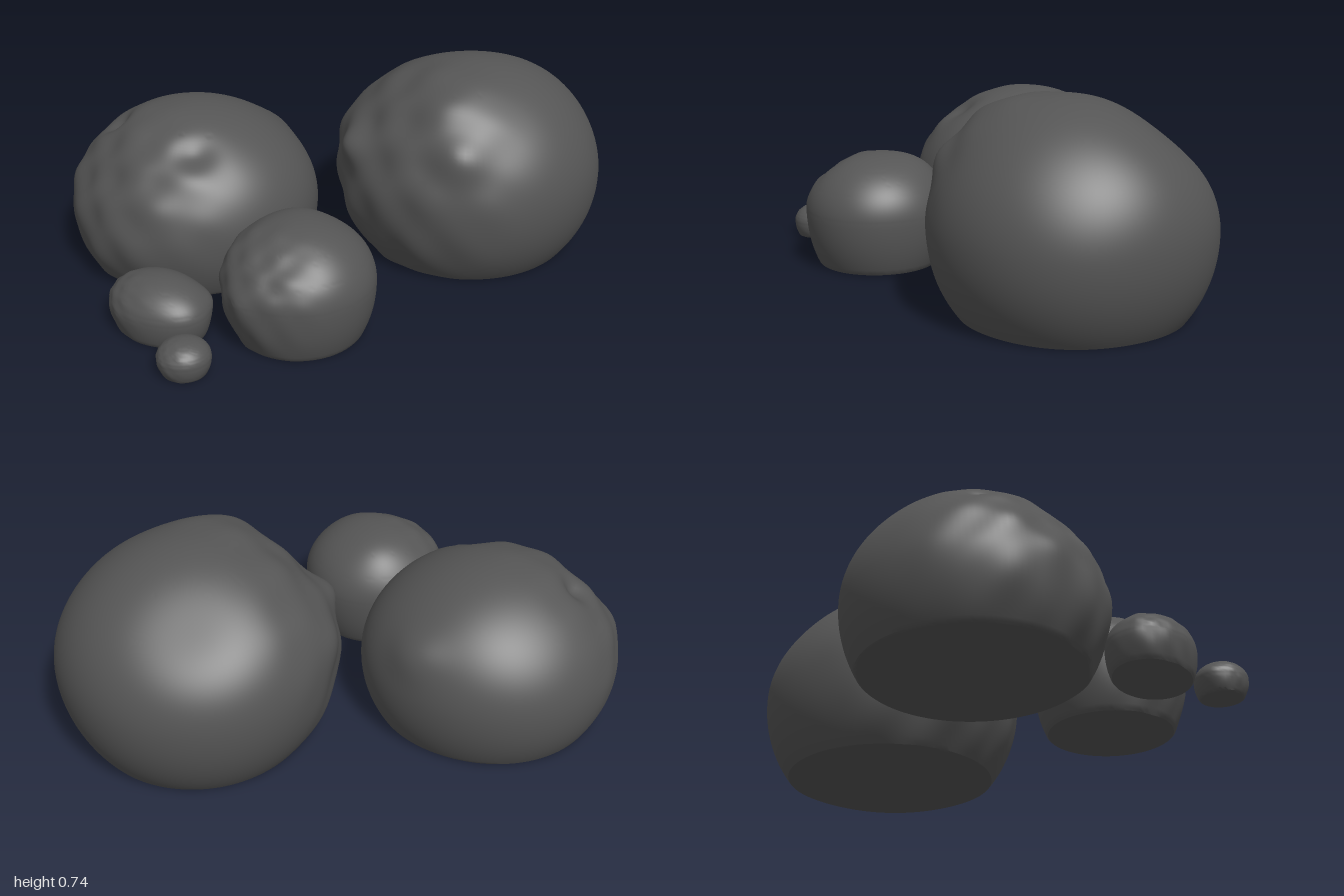
import * as THREE from 'three';
import { toCreasedNormals } from 'three/addons/utils/BufferGeometryUtils.js';

const stone = new THREE.MeshStandardMaterial({ color: 0x555555 });
stone.name = 'dark stone';

// Smooth lumpiness, stronger on the weathered side (-x, +z)
function lumps(d, seed) {
  const weathered = THREE.MathUtils.smoothstep(-d.x * 0.8 + d.z * 0.5 + d.y * 0.2, 0.1, 0.9);
  const broad = Math.sin(3.1 * d.x + seed) * Math.sin(2.7 * d.y + seed * 2) * Math.sin(3.4 * d.z + seed * 3);
  const fine = Math.sin(9 * d.x + 3 * d.y + seed) * Math.sin(8 * d.y - 4 * d.z + seed) * Math.sin(10 * d.z + 2 * d.x);
  return 0.012 * broad + 0.025 * weathered * fine;
}

// A local bump (height > 0) or dent (height < 0) in the direction x, y, z
function bump(x, y, z, width, height) {
  const dir = new THREE.Vector3(x, y, z).normalize();
  return (d) => height * Math.exp(-d.distanceToSquared(dir) / (width * width));
}

// Boulder: an ellipsoid with bumps, cut flat at the ground.
// base = width at the ground relative to the widest level
function boulder(name, center, radii, base, seed, detail, turn, bumps) {
  const geo = new THREE.SphereGeometry(1, Math.round(detail * 1.4), detail);
  geo.deleteAttribute('uv');
  const lower = center.y / Math.sqrt(1 - base * base);
  const pos = geo.attributes.position;
  const d = new THREE.Vector3();
  for (let i = 0; i < pos.count; i++) {
    d.fromBufferAttribute(pos, i).normalize();
    const r = bumps.reduce((sum, f) => sum + f(d), 1 + lumps(d, seed));
    const y = center.y + d.y * r * (d.y > 0 ? radii.y : lower);
    pos.setXYZ(i, d.x * r * radii.x, Math.max(0, y), d.z * r * radii.z);
  }
  geo.rotateY(turn);
  geo.translate(center.x, 0, center.z);
  const mesh = new THREE.Mesh(toCreasedNormals(geo, 0.6), stone);
  mesh.name = name;
  return mesh;
}

export function createModel() {
  const group = new THREE.Group();
  group.name = 'boulders';
  const at = (x, y, z) => new THREE.Vector3(x, y, z);

  // Front shoulder, sloping back and knobs on the left flank
  group.add(boulder('largestBoulder', at(0.505, 0.3, -0.265), at(0.495, 0.435, 0.485), 0.79, 1.3, 96, 0, [
    bump(-0.2, 0.9, 0.6, 0.34, 0.07),
    bump(0, 0.75, -0.65, 0.45, -0.07),
    bump(-0.2, 0.5, 0.9, 0.2, 0.05),
    bump(-1, 0.38, 0.3, 0.16, 0.09),
    bump(-1, 0.35, -0.25, 0.2, 0.05),
  ]));

  // Pit on top, front hollow, back ridge and a worn front left
  group.add(boulder('broadBoulder', at(-0.54, 0.22, -0.185), at(0.46, 0.38, 0.435), 0.86, 2.6, 96, 0, [
    bump(-0.62, 0.75, -0.1, 0.13, -0.09),
    bump(0.05, 0.8, 0.6, 0.16, -0.06),
    bump(0.7, 0.5, -0.65, 0.22, 0.05),
    bump(-0.75, 0.55, 0.4, 0.35, -0.05),
  ]));

  // High back, sloping front and a front left corner
  group.add(boulder('mediumBoulder', at(-0.16, 0.2, 0.4), at(0.27, 0.215, 0.268), 0.83, 4.1, 72, 0, [
    bump(0, 0.85, -0.55, 0.4, 0.06),
    bump(-0.2, 0.75, 0.7, 0.35, -0.06),
    bump(-0.75, 0, 0.75, 0.28, 0.06),
  ]));

  group.add(boulder('smallBoulder', at(-0.645, 0.09, 0.38), at(0.195, 0.115, 0.145), 0.88, 5.2, 48, -0.62, [
    bump(0.7, 0.2, -0.7, 0.35, 0.08),
  ]));

  group.add(boulder('pebble', at(-0.548, 0.06, 0.658), at(0.093, 0.066, 0.09), 0.8, 0.7, 36, 0, [
    bump(-0.7, 0.1, -0.7, 0.35, 0.08),
  ]));
  return group;
}
